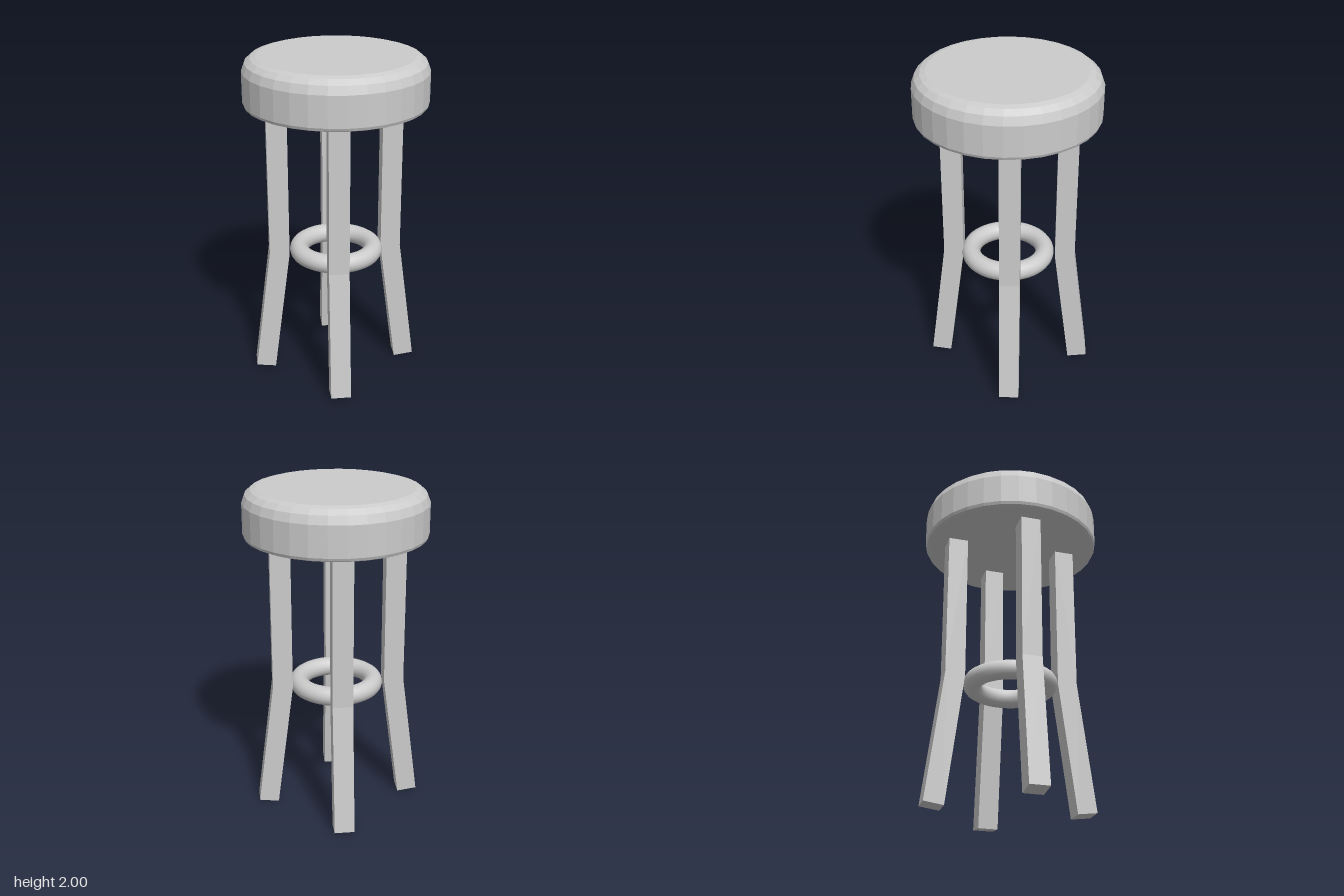
import * as THREE from 'three';

const SEAT_SIDES = 32;
const LEG = 0.06; // half thickness of a leg

export function createModel() {
  const model = new THREE.Group();
  const flat = new THREE.MeshStandardMaterial({ color: 0xcccccc, flatShading: true });
  const smooth = new THREE.MeshStandardMaterial({ color: 0xcccccc });

  const add = (name, geometry, material, parent = model) => {
    const mesh = new THREE.Mesh(geometry, material);
    mesh.name = name;
    parent.add(mesh);
    return mesh;
  };

  // Round cushion with a soft upper rim and a small lower bevel
  const profile = [
    [0, 1.71], [0.515, 1.71], [0.533, 1.718], [0.54, 1.735], [0.54, 1.915],
    [0.522, 1.963], [0.49, 1.99], [0.457, 2], [0, 2],
  ].map(([r, y]) => new THREE.Vector2(r, y));
  add('seat', new THREE.LatheGeometry(profile, SEAT_SIDES), flat);

  // Leg side profile: straight above, splayed outwards below the ring
  const side = new THREE.Shape([
    [-LEG, 1.74], [-LEG, 0.79], [0.043, 0], [0.162, 0.016], [LEG, 0.8], [LEG, 1.74],
  ].map(([r, y]) => new THREE.Vector2(r, y)));
  const legGeometry = new THREE.ExtrudeGeometry(side, { depth: 2 * LEG, bevelEnabled: false });
  legGeometry.translate(0, 0, -LEG);

  // Four legs, each bending along its diagonal
  const legs = new THREE.Group();
  legs.name = 'legs';
  legs.position.x = -0.013;
  model.add(legs);
  for (const [sz, end] of [[1, 'front'], [-1, 'back']]) {
    for (const [sx, hand] of [[1, 'Left'], [-1, 'Right']]) {
      const leg = add(`${end}${hand}Leg`, legGeometry, flat, legs);
      leg.position.set(sx * 0.23, 0, sz * 0.254);
      leg.rotation.y = Math.atan2(-sz, sx);
    }
  }

  // Ring held between the legs
  const ring = add('footRing', new THREE.TorusGeometry(0.227, 0.057, 16, 48), smooth);
  ring.rotation.x = Math.PI / 2;
  ring.position.y = 0.785;

  return model;
}
